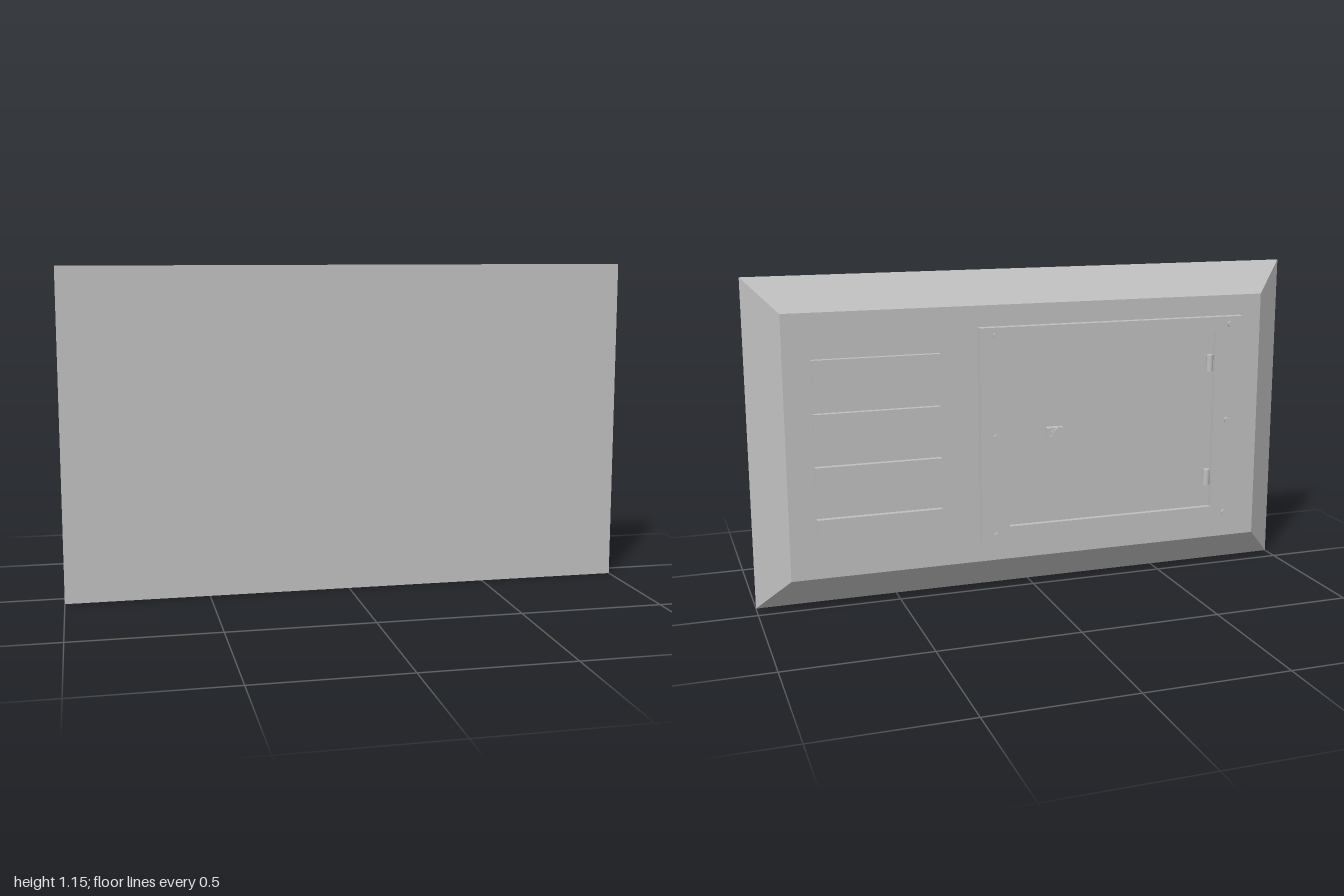
import * as THREE from 'three';

export function createModel() {
  const model = new THREE.Group();
  model.name = 'wallPanel';
  const grey = new THREE.MeshStandardMaterial({ color: 0xc0c0c0 });
  grey.name = 'grey metal';

  const add = (name, geometry, x = 0, y = 0, z = 0) => {
    const mesh = new THREE.Mesh(geometry, grey);
    mesh.name = name;
    mesh.position.set(x, y, z);
    model.add(mesh);
    return mesh;
  };
  // Box given by its extents along each axis
  const block = (name, x0, x1, y0, y1, z0, z1) =>
    add(name, new THREE.BoxGeometry(x1 - x0, y1 - y0, z1 - z0),
      (x0 + x1) / 2, (y0 + y1) / 2, (z0 + z1) / 2);
  // Short cylinder pointing along z
  const stud = (name, r, depth, x, y, z, sides = 16) =>
    add(name, new THREE.CylinderGeometry(r, r, depth, sides).rotateX(Math.PI / 2), x, y, z);

  // Slab with its back edges bevelled inwards
  const H = 1.155, inset = 0.115, midY = 0.5775;
  const slab = new THREE.BoxGeometry(2, H, 0.09);
  const p = slab.attributes.position;
  for (let i = 0; i < p.count; i++) {
    if (p.getZ(i) < 0) {
      p.setX(i, p.getX(i) - Math.sign(p.getX(i)) * inset);
      p.setY(i, p.getY(i) - Math.sign(p.getY(i)) * inset);
    }
  }
  slab.computeVertexNormals();
  add('slab', slab, 0, H / 2, 0.025);

  // Four raised louvre bars
  for (let i = 0; i < 4; i++) {
    const y = 0.285 + i * 0.184;
    block('ventBar', 0.35, 0.79, y - 0.046, y + 0.046, -0.04, -0.02);
  }

  // Hatch frame with a rectangular opening
  const rect = (Type, x0, x1, y0, y1) => new Type([
    new THREE.Vector2(x0, y0), new THREE.Vector2(x1, y0),
    new THREE.Vector2(x1, y1), new THREE.Vector2(x0, y1),
  ]);
  const frame = rect(THREE.Shape, -0.8, 0.21, 0.192, 0.965);
  frame.holes.push(rect(THREE.Path, -0.69, 0.105, 0.245, 0.91));
  add('hatchFrame', new THREE.ExtrudeGeometry(frame, { depth: 0.03, bevelEnabled: false }), 0, 0, -0.05);

  // Recessed door
  block('door', -0.69, 0.105, 0.245, 0.91, -0.031, -0.02);

  // Hinge barrels
  for (const y of [0.36, 0.795]) {
    add('hinge', new THREE.CylinderGeometry(0.013, 0.013, 0.06, 16), -0.672, y, -0.042);
  }

  // Frame bolts
  for (const x of [-0.745, 0.155]) {
    for (const dy of [-0.36, 0, 0.36]) stud('bolt', 0.01, 0.008, x, midY + dy, -0.054);
  }

  // Latch: base, round boss and tilted turn handle
  block('latchBase', -0.093, -0.033, 0.561, 0.597, -0.058, -0.031);
  stud('latchBoss', 0.014, 0.006, -0.06, 0.579, -0.061);
  const handle = add('latchHandle', new THREE.BoxGeometry(0.008, 0.048, 0.006), -0.06, 0.583, -0.064);
  handle.rotation.z = 0.7;

  return model;
}
